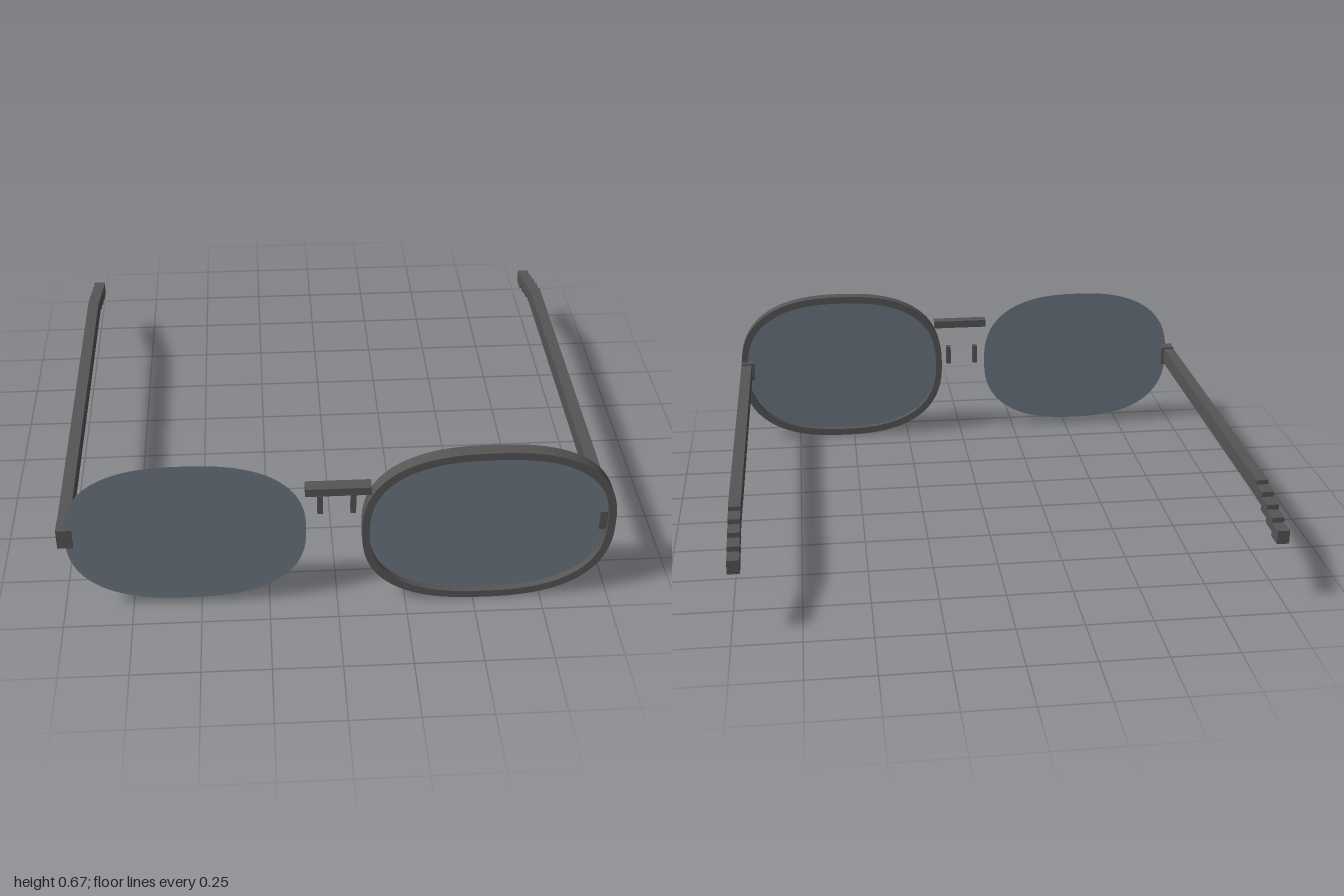
import * as THREE from 'three';

const frameMat = new THREE.MeshStandardMaterial({ color: 0x555555 });
frameMat.name = 'dark grey frame';
const lensMat = new THREE.MeshStandardMaterial({ color: 0x6e7882, side: THREE.DoubleSide });
lensMat.name = 'smoky blue lens';

const EYE_X = 0.543, EYE_Y = 0.335, LENS_Z = 0.9;

// Softly squared oval, as a closed list of points
function ovalPoints(a, b, power = 2.5, n = 96) {
  const points = [];
  for (let i = 0; i < n; i++) {
    const t = (i / n) * Math.PI * 2, c = Math.cos(t), s = Math.sin(t);
    points.push(new THREE.Vector2(
      a * Math.sign(c) * Math.abs(c) ** (2 / power),
      b * Math.sign(s) * Math.abs(s) ** (2 / power)));
  }
  return points;
}

// Box given by its limits on each axis
function box(name, [x0, x1], [y0, y1], [z0, z1]) {
  const mesh = new THREE.Mesh(new THREE.BoxGeometry(x1 - x0, y1 - y0, z1 - z0), frameMat);
  mesh.position.set((x0 + x1) / 2, (y0 + y1) / 2, (z0 + z1) / 2);
  mesh.name = name;
  return mesh;
}

export function createModel() {
  const model = new THREE.Group();
  model.name = 'glasses';

  // Rim around the left lens only
  const rimShape = new THREE.Shape(ovalPoints(0.457, 0.335));
  rimShape.holes.push(new THREE.Path(ovalPoints(0.43, 0.305)));
  const rim = new THREE.Mesh(
    new THREE.ExtrudeGeometry(rimShape, { depth: 0.05, bevelEnabled: false }), frameMat);
  rim.position.set(EYE_X, EYE_Y, 0.875);
  rim.name = 'leftRim';
  model.add(rim);

  // Bridge bar
  model.add(box('bridge', [-0.117, 0.117], [0.505, 0.537], [0.876, 0.924]));

  for (const [side, s] of [['left', 1], ['right', -1]]) {
    const span = (a, b) => (s > 0 ? [a, b] : [-b, -a]);

    // Flat lens
    const lens = new THREE.Mesh(
      new THREE.ShapeGeometry(new THREE.Shape(ovalPoints(0.43, 0.305))), lensMat);
    lens.position.set(s * EYE_X, EYE_Y, LENS_Z);
    lens.name = side + 'Lens';
    model.add(lens);

    // Nose pad, hinge and temple arm
    model.add(box(side + 'NosePad', span(0.05, 0.07), [0.355, 0.435], [0.815, 0.84]));
    model.add(box(side + 'Hinge', span(0.945, 1), [0.297, 0.377], [0.85, 0.91]));
    model.add(box(side + 'Temple', span(0.955, 1), [0.304, 0.37], [-0.65, 0.88]));

    // Stepped ear tip, dropping towards the back
    for (let i = 0; i < 4; i++) {
      const z = -0.65 - i * 0.07, y = 0.327 - i * 0.019;
      model.add(box(side + 'EarTip' + (i + 1), span(0.955, 1), [y - 0.026, y + 0.026], [z - 0.07, z]));
    }
  }
  return model;
}
